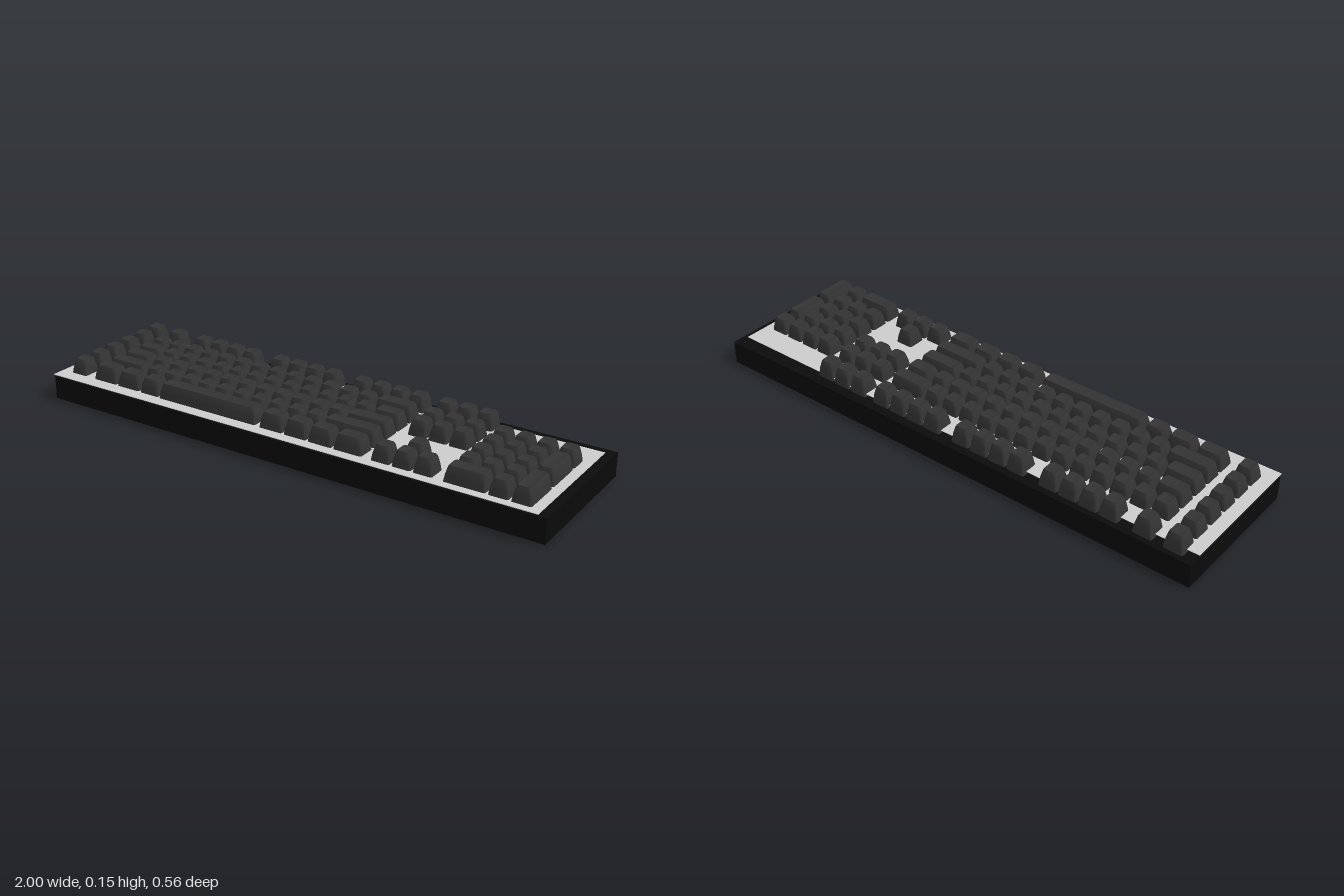
import * as THREE from 'three';
import { toCreasedNormals } from 'three/addons/utils/BufferGeometryUtils.js';

const U = 0.0787;      // key pitch
const LEFT = -0.847;   // left edge of the main block
const GAP = 0.006;
const SKEW = 0.0137;   // rows drift slightly forward toward the right

const caseMat = new THREE.MeshStandardMaterial({ color: 0x0b0b0b });
const keyMat = new THREE.MeshStandardMaterial({ color: 0x333333 });
const plateMat = new THREE.MeshStandardMaterial({ color: 0xcccccc });

// Tapered keycap lofted from rounded rectangles, with a dished top
function keycapGeometry(w, d) {
  // height, side inset, front inset, back inset, corner radius
  const levels = [
    [0, 0, 0, 0, 0.006],
    [0.035, 0.005, 0.005, 0.003, 0.008],
    [0.061, 0.011, 0.011, 0.007, 0.01],
    [0.066, 0.014, 0.014, 0.01, 0.009],
    [0.0645, 0.018, 0.018, 0.014, 0.007],
  ];
  const steps = 3, n = 4 * (steps + 1);
  const pos = [], idx = [];
  for (const [y, side, front, back, r] of levels) {
    const hx = w / 2 - side - r;
    const z0 = -d / 2 + back + r, z1 = d / 2 - front - r;
    for (let c = 0; c < 4; c++) {
      const cx = c === 0 || c === 3 ? hx : -hx;
      const cz = c < 2 ? z1 : z0;
      for (let s = 0; s <= steps; s++) {
        const a = (c + s / steps) * Math.PI / 2;
        pos.push(cx + r * Math.cos(a), y, cz + r * Math.sin(a));
      }
    }
  }
  const centre = pos.length / 3;
  pos.push(0, 0.063, 0);
  for (let l = 0; l < levels.length; l++) {
    for (let i = 0; i < n; i++) {
      const a = l * n + i, b = l * n + (i + 1) % n;
      if (l === levels.length - 1) idx.push(a, centre, b);
      else idx.push(a, a + n, b, b, a + n, b + n);
    }
  }
  const g = new THREE.BufferGeometry();
  g.setAttribute('position', new THREE.Float32BufferAttribute(pos, 3));
  g.setIndex(idx);
  return toCreasedNormals(g, 0.6);
}

const cache = new Map();
function addKey(group, x, z, wu = 1, du = 1) {
  const id = wu + 'x' + du;
  if (!cache.has(id)) cache.set(id, keycapGeometry(wu * U - GAP, du * U - GAP));
  const key = new THREE.Mesh(cache.get(id), keyMat);
  key.name = 'keycap';
  key.position.set(x, 0.0885, z + SKEW * (x + 0.8));
  group.add(key);
}

// Row of keys starting a number of pitches from LEFT; negative widths are gaps
function addRow(group, start, z, widths) {
  let u = start;
  for (const w of widths) {
    if (w > 0) addKey(group, LEFT + (u + w / 2) * U, z, w);
    u += Math.abs(w);
  }
}

const ones = (count) => Array(count).fill(1);

export function createModel() {
  const model = new THREE.Group();
  model.name = 'keyboard';

  const section = (name) => {
    const g = new THREE.Group();
    g.name = name;
    model.add(g);
    return g;
  };

  // Case and thin top plate
  const body = new THREE.Mesh(new THREE.BoxGeometry(2, 0.088, 0.55), caseMat);
  body.name = 'case';
  body.position.set(0, 0.044, -0.003);
  const plate = new THREE.Mesh(new THREE.BoxGeometry(1.973, 0.002, 0.51), plateMat);
  plate.name = 'topPlate';
  plate.position.set(-0.0135, 0.0975, 0.023);
  model.add(body, plate);

  const fz = -0.222;
  const rowZ = [0, 1, 2, 3, 4].map((i) => -0.123 + i * U);

  // Function row
  const functionRow = section('functionRow');
  addRow(functionRow, 0, fz, [1]);
  for (const start of [1.62, 6.31, 10.94]) addRow(functionRow, start, fz, ones(4));

  // Main typing block
  const main = section('mainKeys');
  [
    [...ones(13), 2],
    [1.5, ...ones(12), 1.5],
    [1.75, ...ones(11), 2.25],
    [2.25, ...ones(10), 2.75],
    [1.45, 1.4, 1.15, 5.5, -0.15, 1.3, 1.25, 1.3, 1.5],
  ].forEach((widths, i) => addRow(main, 0, rowZ[i], widths));

  // Navigation and arrow keys
  const nav = section('navigationKeys');
  for (const z of [fz, rowZ[0], rowZ[1], rowZ[4]]) addRow(nav, 15.35, z, ones(3));
  addRow(nav, 16.35, rowZ[3], [1]);

  // Number pad with two tall keys at its outer edge
  const pad = section('numberPad');
  addRow(pad, 18.74, rowZ[0], ones(4));
  for (const i of [1, 2, 3]) addRow(pad, 18.74, rowZ[i], ones(3));
  addRow(pad, 18.74, rowZ[4], [2, 1]);
  for (const i of [1, 3]) addKey(pad, LEFT + 22.24 * U, rowZ[i] + U / 2, 1, 2);

  // Macro column
  const macro = section('macroKeys');
  for (let i = 0; i < 6; i++) addRow(macro, -1.43, -0.222 + i * 0.083, [1]);

  return model;
}
